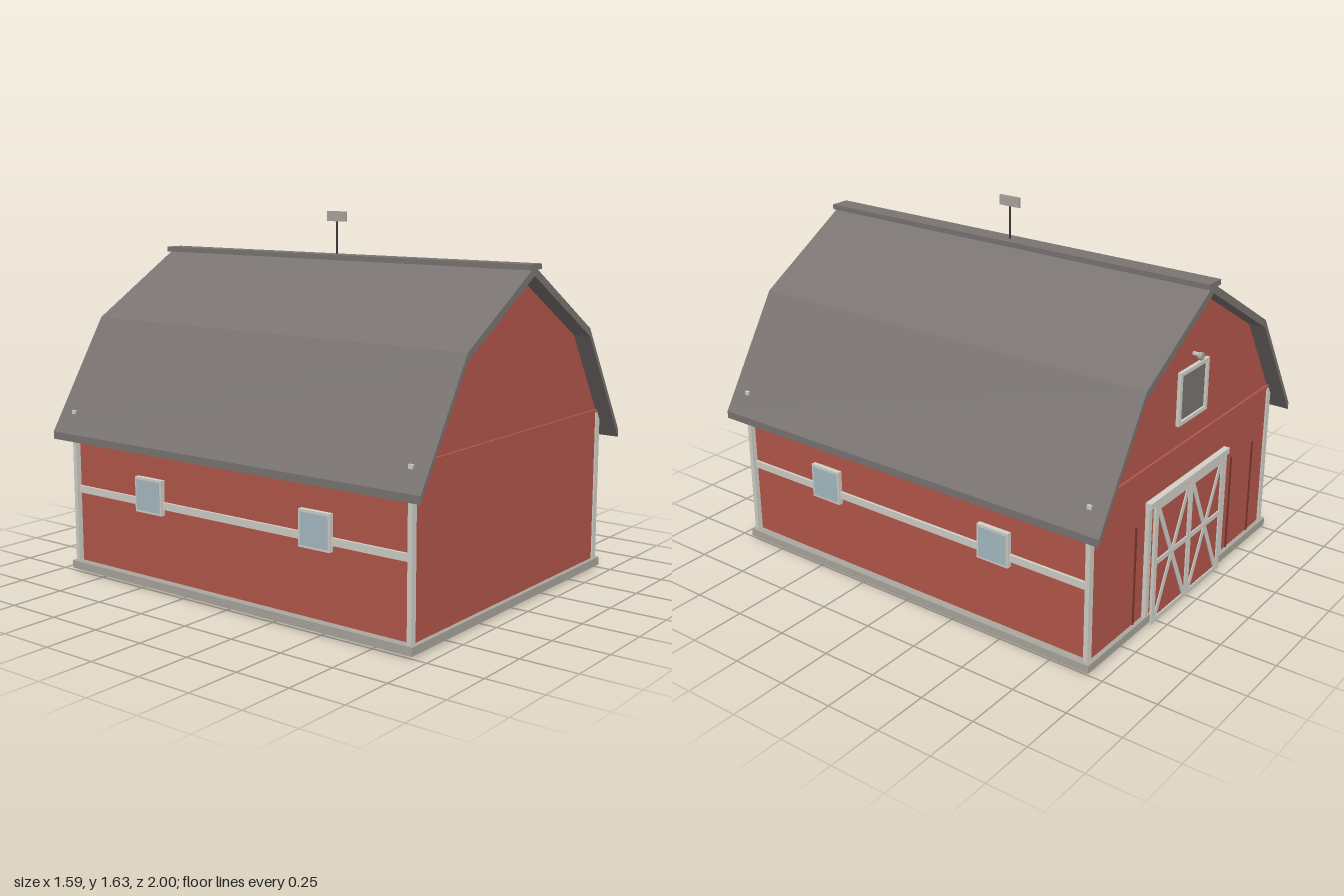
import * as THREE from 'three';

const mat = (name, color) => {
  const m = new THREE.MeshStandardMaterial({ color });
  m.name = name;
  return m;
};

export function createModel() {
  const barn = new THREE.Group();
  barn.name = 'barn';

  const red = mat('barn red', 0xb5574b);
  const darkRed = mat('dark red', 0x7e352d);
  const trim = mat('trim white', 0xd2d0c8);
  const stone = mat('foundation grey', 0xaba79f);
  const roofGrey = mat('roof grey', 0x7a7573);
  const glass = mat('glass blue', 0xa8bcc4);
  const iron = mat('iron', 0x3c3a39);

  // Adds a mesh to a parent group
  const add = (name, geometry, material, parent = barn) => {
    const mesh = new THREE.Mesh(geometry, material);
    mesh.name = name;
    parent.add(mesh);
    return mesh;
  };
  // Box given by its minimum and maximum on each axis
  const box = (name, material, [x0, x1], [y0, y1], [z0, z1], parent = barn) => {
    const mesh = add(name, new THREE.BoxGeometry(x1 - x0, y1 - y0, z1 - z0), material, parent);
    mesh.position.set((x0 + x1) / 2, (y0 + y1) / 2, (z0 + z1) / 2);
    return mesh;
  };
  // Outline in x and y extruded evenly about z = 0
  const prism = (name, points, halfLength, material) => {
    const shape = new THREE.Shape(points.map(([x, y]) => new THREE.Vector2(x, y)));
    const geometry = new THREE.ExtrudeGeometry(shape, { depth: halfLength * 2, bevelEnabled: false });
    geometry.translate(0, 0, -halfLength);
    return add(name, geometry, material);
  };
  const mirror = (pts) => pts.map(([x, y]) => [-x, y]).reverse();

  // Walls and gables as one solid under the roof
  const wallHalf = [[0.72, 0.011], [0.72, 0.733], [0.49, 1.102]];
  prism('walls', [...wallHalf, [0, 1.393], ...mirror(wallHalf)], 0.918, red);

  // Gambrel roof shell
  const outer = [[0.795, 0.645], [0.49, 1.135]];
  const inner = [[0.49, 1.1], [0.795, 0.612]];
  prism('roof', [...outer, [0, 1.428], ...mirror(outer), ...mirror(inner), [0, 1.39], ...inner], 0.995, roofGrey);
  box('ridgeCap', roofGrey, [-0.045, 0.045], [1.415, 1.438], [-1, 1]);

  // Weather vane
  const rod = add('vaneRod', new THREE.CylinderGeometry(0.004, 0.004, 0.17, 8), iron);
  rod.position.y = 1.515;
  box('vanePlate', stone, [-0.005, 0.005], [1.582, 1.626], [-0.052, 0.052]);

  for (const s of [-1, 1]) {
    const side = (a, b) => (s > 0 ? [a, b] : [-b, -a]);

    // Foundation rim
    box('foundationSide', stone, side(0.718, 0.757), [0.012, 0.048], [-0.938, 0.938]);
    box('foundationEnd', stone, [-0.718, 0.718], [0.012, 0.048], side(0.916, 0.938));

    // Corner boards
    for (const z of [-0.915, 0.915])
      box('cornerBoard', trim, side(0.715, 0.745), [0.048, 0.743], [z - 0.01, z + 0.01]);

    // Belt board below each gable
    box('beltBoard', red, [-0.72, 0.72], [0.73, 0.743], side(0.91, 0.928));

    // Side rail and windows
    box('sideRail', trim, side(0.715, 0.732), [0.366, 0.398], [-0.905, 0.905]);
    for (const z of [-0.457, 0.457]) {
      const window = new THREE.Group();
      window.name = 'window';
      barn.add(window);
      box('windowFrame', trim, side(0.715, 0.742), [0.338, 0.494], [z - 0.078, z + 0.078], window);
      box('windowGlass', glass, side(0.74, 0.745), [0.348, 0.484], [z - 0.068, z + 0.068], window);
    }
  }

  // Double barn door on the back wall
  const door = new THREE.Group();
  door.name = 'barnDoor';
  barn.add(door);
  const zTrim = [-0.946, -0.934];
  box('doorPanel', red, [-0.285, 0.285], [0.005, 0.555], [-0.94, -0.915], door);
  box('doorHeader', trim, [-0.33, 0.33], [0.553, 0.58], [-0.946, -0.915], door);
  const brace = (x0, y0, x1, y1) => {
    const length = Math.hypot(x1 - x0, y1 - y0);
    const bar = add('doorBrace', new THREE.BoxGeometry(length, 0.024, 0.008), trim, door);
    bar.position.set((x0 + x1) / 2, (y0 + y1) / 2, -0.94);
    bar.rotation.z = Math.atan2(y1 - y0, x1 - x0);
  };
  for (const s of [-1, 1]) {
    const span = (a, b) => (s > 0 ? [a, b] : [-b, -a]);
    box('doorJamb', trim, span(0.303, 0.328), [0.045, 0.56], [-0.936, -0.915], door);
    box('leafOuterStile', trim, span(0.265, 0.29), [0, 0.553], zTrim, door);
    box('leafInnerStile', trim, span(0.002, 0.016), [0, 0.553], zTrim, door);
    for (const y of [0, 0.275, 0.53])
      box('leafRail', trim, span(0.016, 0.265), [y, y + 0.023], zTrim, door);
    brace(s * 0.02, 0.02, s * 0.26, 0.53);
    brace(s * 0.02, 0.53, s * 0.26, 0.02);
  }

  // Thin battens beside the door
  for (const x of [-0.6, -0.4, 0.4])
    box('batten', darkRed, [x - 0.004, x + 0.004], [0.048, 0.5], [-0.924, -0.915]);

  // Hayloft hatch with its frame and hoist
  const loft = new THREE.Group();
  loft.name = 'loftHatch';
  barn.add(loft);
  box('hatchPanel', roofGrey, [-0.1, 0.1], [0.855, 1.055], [-0.924, -0.915], loft);
  for (const s of [-1, 1]) {
    const span = s > 0 ? [0.1, 0.117] : [-0.117, -0.1];
    box('hatchStile', trim, span, [0.838, 1.072], [-0.934, -0.915], loft);
    const y = s > 0 ? 1.055 : 0.838;
    box('hatchRail', trim, [-0.1, 0.1], [y, y + 0.017], [-0.934, -0.915], loft);
  }
  box('hoistArm', trim, [-0.006, 0.006], [1.115, 1.127], [-0.955, -0.915], loft);
  const pulley = add('hoistPulley', new THREE.CylinderGeometry(0.017, 0.017, 0.016, 12), stone, loft);
  pulley.rotation.x = Math.PI / 2;
  pulley.position.set(0, 1.115, -0.955);

  return barn;
}
